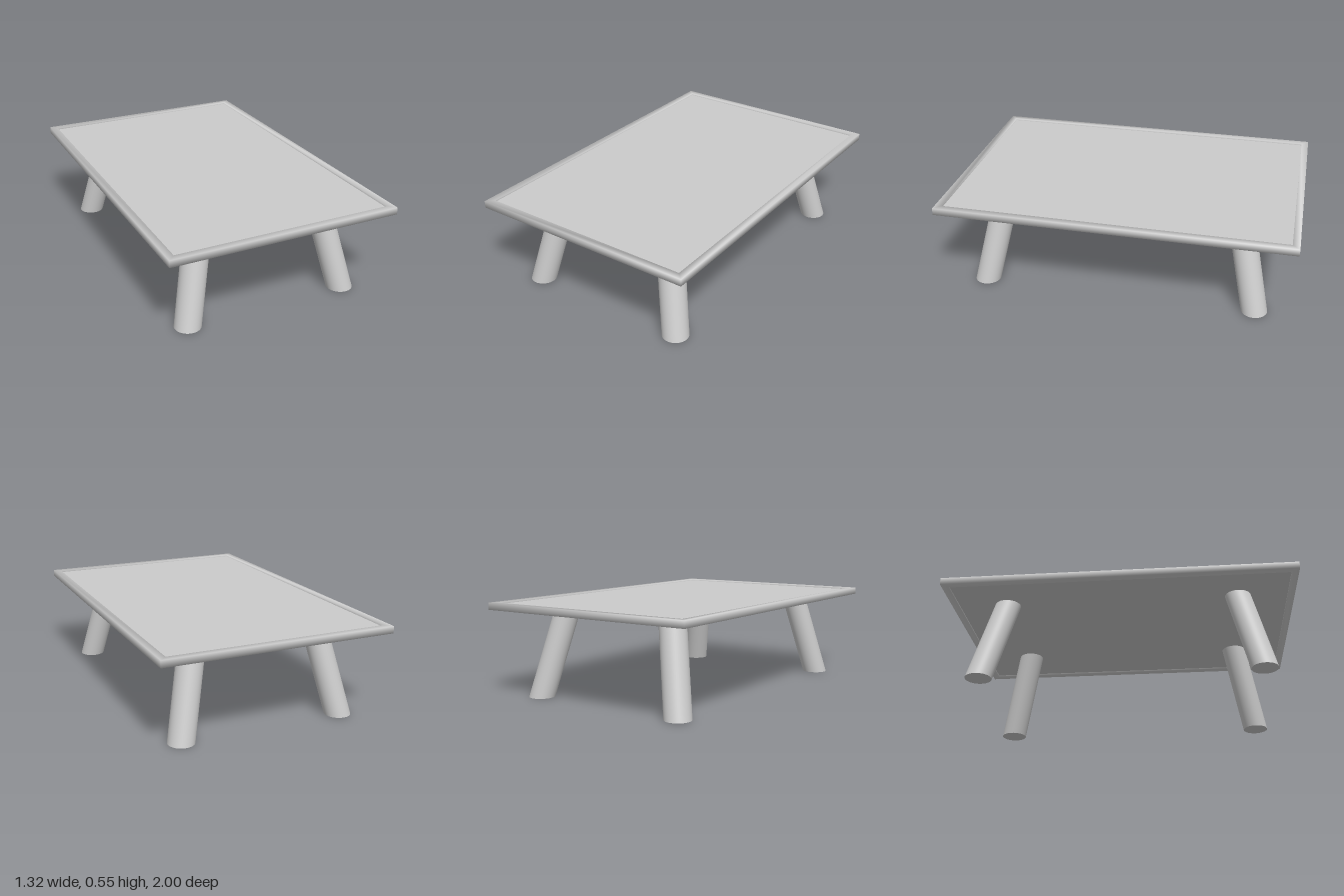
import * as THREE from 'three';

const material = new THREE.MeshStandardMaterial({ color: 0xcccccc });
const TOP = 0.545, UNDER = 0.505;      // frame heights
const HALF_X = 0.66, HALF_Z = 1;       // frame outer half sizes
const RIM = 0.04;                      // frame width
const PANEL_UNDER = 0.515, PANEL_TOP = 0.535;

function addMesh(parent, name, geometry) {
  const mesh = new THREE.Mesh(geometry, material);
  mesh.name = name;
  parent.add(mesh);
  return mesh;
}

// Rectangular ring swept from a square section, with shared soft corners
function frameGeometry() {
  const section = [[0, UNDER], [0, TOP], [RIM, TOP], [RIM, UNDER]];
  const corners = [[1, 1], [1, -1], [-1, -1], [-1, 1]];
  const positions = [], index = [];
  corners.forEach(([sx, sz], c) => section.forEach(([inset, y], s) => {
    positions.push(sx * (HALF_X - inset), y, sz * (HALF_Z - inset));
    const next = (c + 1) % 4, up = (s + 1) % 4;
    const a = c * 4 + s, b = next * 4 + s, d = next * 4 + up, e = c * 4 + up;
    index.push(a, b, d, a, d, e);
  }));
  const geometry = new THREE.BufferGeometry();
  geometry.setAttribute('position', new THREE.Float32BufferAttribute(positions, 3));
  geometry.setIndex(index);
  geometry.computeVertexNormals();
  return geometry;
}

// Round leg sheared outwards so that its ends stay level
function legGeometry(sx, sz) {
  const slope = 0.22;
  const geometry = new THREE.CylinderGeometry(0.0745, 0.0745, PANEL_UNDER, 48);
  geometry.translate(0, PANEL_UNDER / 2, 0);
  const shear = new THREE.Matrix4().set(
    1, -slope * sx, 0, 0.474 * sx,
    0, 1, 0, 0,
    0, -slope * sz, 1, 0.789 * sz,
    0, 0, 0, 1);
  return geometry.applyMatrix4(shear);
}

export function createModel() {
  const table = new THREE.Group();
  table.name = 'table';

  // Table top: edge frame and slightly recessed panel
  addMesh(table, 'topFrame', frameGeometry());
  const panel = addMesh(table, 'topPanel', new THREE.BoxGeometry(
    2 * (HALF_X - RIM), PANEL_TOP - PANEL_UNDER, 2 * (HALF_Z - RIM)));
  panel.position.y = (PANEL_TOP + PANEL_UNDER) / 2;

  // Four splayed legs
  for (const [sx, side] of [[1, 'Left'], [-1, 'Right']]) {
    for (const [sz, end] of [[1, 'front'], [-1, 'back']]) {
      addMesh(table, `${end}${side}Leg`, legGeometry(sx, sz));
    }
  }
  return table;
}
